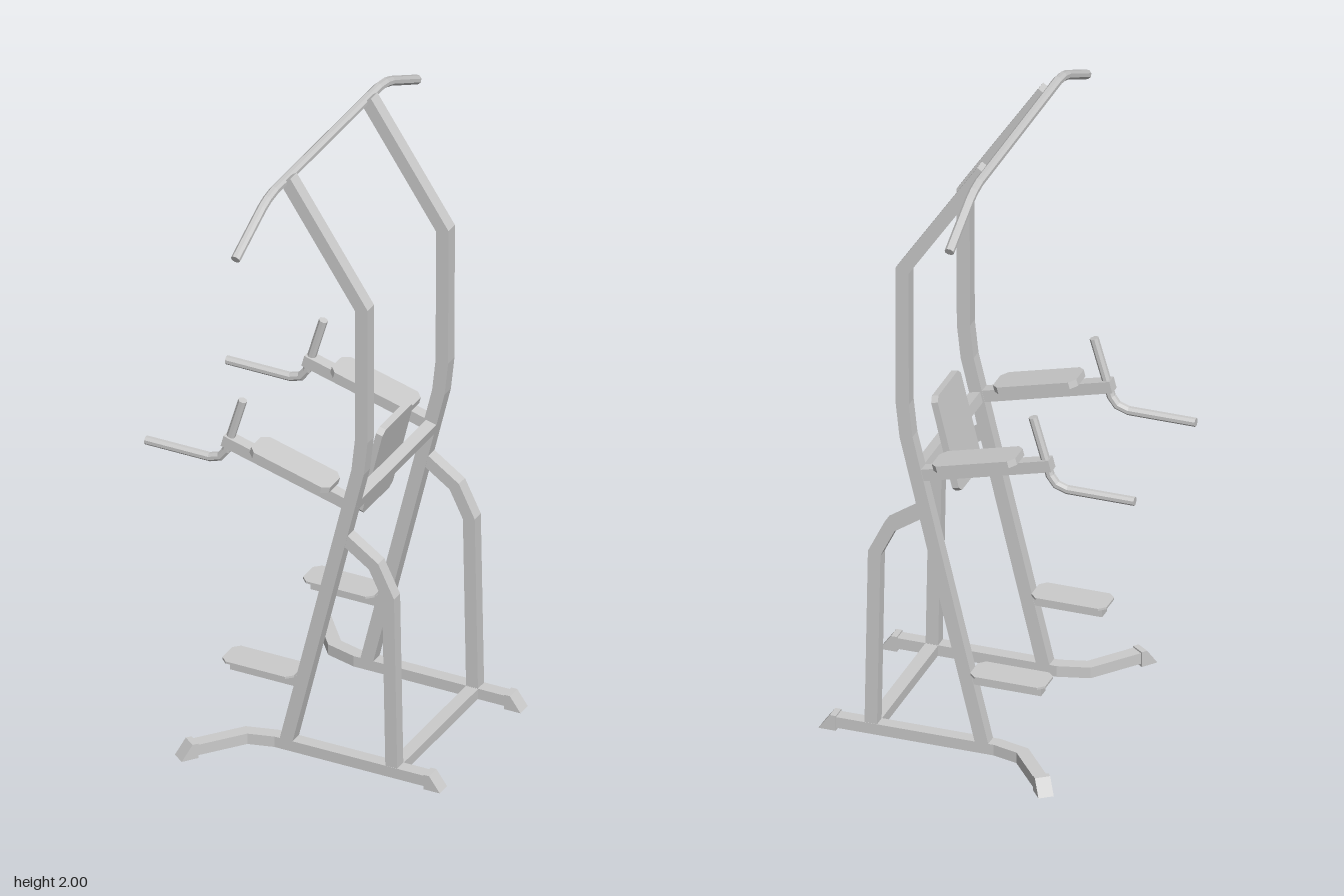
import * as THREE from 'three';

const material = new THREE.MeshStandardMaterial({ color: 0xcccccc, flatShading: true });
const Z = 0.264; // distance of each side frame from the middle
const T = 0.021; // half thickness of the square tube
const LEAN = Math.atan(0.242); // backward lean of the uprights

const V = (x, y, z) => new THREE.Vector3(x, y, z);
const rect = (n, b) => [[-n, -b], [n, -b], [n, b], [-n, b]];
const round = (r, sides = 8) => Array.from({ length: sides }, (_, i) => {
  const a = ((i + 0.5) / sides) * Math.PI * 2;
  return [r * Math.cos(a), r * Math.sin(a)];
});

// Mitred sweep of a section along a path that lies in the plane across `b`.
function sweep(path, b, section) {
  const dirs = path.slice(1).map((p, i) => p.clone().sub(path[i]).normalize());
  const rings = path.map((p, i) => {
    const n1 = b.clone().cross(dirs[Math.max(i - 1, 0)]);
    const n2 = b.clone().cross(dirs[Math.min(i, dirs.length - 1)]);
    const n = n1.clone().add(n2).divideScalar(1 + n1.dot(n2));
    return section.map(([u, v]) => p.clone().addScaledVector(n, u).addScaledVector(b, v));
  });
  const pos = [];
  const tri = (...pts) => pts.forEach((p) => pos.push(p.x, p.y, p.z));
  const m = section.length;
  for (let k = 0; k < rings.length - 1; k++) {
    for (let i = 0; i < m; i++) {
      const j = (i + 1) % m, r = rings[k], s = rings[k + 1];
      tri(r[i], r[j], s[j]);
      tri(r[i], s[j], s[i]);
    }
  }
  const first = rings[0], last = rings[rings.length - 1];
  for (let i = 1; i < m - 1; i++) {
    tri(first[0], first[i + 1], first[i]);
    tri(last[0], last[i], last[i + 1]);
  }
  const geo = new THREE.BufferGeometry();
  geo.setAttribute('position', new THREE.Float32BufferAttribute(pos, 3));
  geo.computeVertexNormals();
  return geo;
}

// Flat panel with clipped corners: length on x, width on z, thickness on y.
function panel(length, width, thickness, clip) {
  const x = length / 2, y = width / 2, c = clip;
  const shape = new THREE.Shape([
    [-x + c, -y], [x - c, -y], [x, -y + c], [x, y - c],
    [x - c, y], [-x + c, y], [-x, y - c], [-x, -y + c],
  ].map(([a, b]) => new THREE.Vector2(a, b)));
  return new THREE.ExtrudeGeometry(shape, { depth: thickness, bevelEnabled: false })
    .translate(0, 0, -thickness / 2).rotateX(-Math.PI / 2);
}

// Wedge-shaped end cap, with its tip at the origin pointing along +x.
function footGeometry() {
  const shape = new THREE.Shape([
    [-0.055, 0], [0, 0], [-0.036, 0.05], [-0.055, 0.05],
  ].map(([a, b]) => new THREE.Vector2(a, b)));
  return new THREE.ExtrudeGeometry(shape, { depth: 0.048, bevelEnabled: false }).translate(0, 0, -0.024);
}

export function createModel() {
  const model = new THREE.Group();
  const zAxis = V(0, 0, 1), yAxis = V(0, 1, 0), xAxis = V(1, 0, 0);
  const add = (name, geo, x = 0, y = 0, z = 0) => {
    const mesh = new THREE.Mesh(geo, material);
    mesh.name = name;
    mesh.position.set(x, y, z);
    model.add(mesh);
    return mesh;
  };
  // Bent tube in an upright plane at depth z
  const bent = (name, pts, z, section) =>
    add(name, sweep(pts.map(([x, y]) => V(x, y, 0)), zAxis, section), 0, 0, z);

  for (const s of [1, -1]) {
    const z = s * Z;

    // Main upright and rear brace
    bent('upright', [[-0.022, 0.03], [0.222, 1.04], [0.234, 1.15], [0.235, 1.603], [-0.022, 1.987]], z, rect(T, T));
    bent('rearBrace', [[0.165, 0.8], [0.275, 0.725], [0.324, 0.625], [0.335, 0.03]], z, rect(T - 0.001, T - 0.001));

    // Base rail splaying outward, with wedge feet
    const rail = [V(0.46, 0.027, z), V(-0.06, 0.027, z), V(-0.15, 0.027, s * 0.288), V(-0.265, 0.027, s * 0.432)];
    add('baseRail', sweep(rail, yAxis, rect(T, 0.018)));
    add('rearFoot', footGeometry(), 0.5, 0, z);
    add('splayedFoot', footGeometry(), -0.29, 0, s * 0.462).rotation.y = Math.atan2(-s * 0.79, -0.61);

    // Arm rest with pad
    bent('armRest', [[0.185, 0.914], [-0.235, 1.024]], z, rect(0.019, 0.019));
    const tilt = Math.atan2(0.914 - 1.024, 0.42);
    add('armPad', panel(0.275, 0.104, 0.022, 0.02), 0, 0.994, z).rotation.z = tilt;

    // Dip handle turning up into a grip
    bent('handle', [[-0.5, 0.946], [-0.285, 0.946], [-0.25, 0.958], [-0.23, 0.985], [-0.175, 1.172]], z, round(0.014));

    // Foot step: bracket and plate
    add('stepBracket', new THREE.BoxGeometry(0.23, 0.038, 0.04), -0.093, 0.257, z);
    add('stepPlate', panel(0.24, 0.104, 0.007, 0.02), -0.107, 0.279, z);
  }

  // Cross bars joining the two sides
  add('baseCrossBar', new THREE.BoxGeometry(0.041, 0.034, 2 * Z), 0.335, 0.027, 0);
  add('backCrossBar', new THREE.BoxGeometry(0.036, 0.036, 2 * Z), 0.194, 0.911, 0).rotation.z = -LEAN;

  // Back pad, leaning with the uprights
  const backPad = add('backPad', panel(0.317, 0.2, 0.022, 0.016), 0.166, 0.928, 0);
  backPad.rotation.z = Math.PI / 2 - LEAN;

  // Pull-up bar with drooping ends
  const half = [[0.594, 1.874], [0.42, 1.961], [0.385, 1.973], [0.34, 1.98]];
  const bar = [...half, ...half.map(([z, y]) => [-z, y]).reverse()];
  add('pullUpBar', sweep(bar.map(([z, y]) => V(-0.03, y, z)), xAxis, round(0.015)));

  return model;
}
